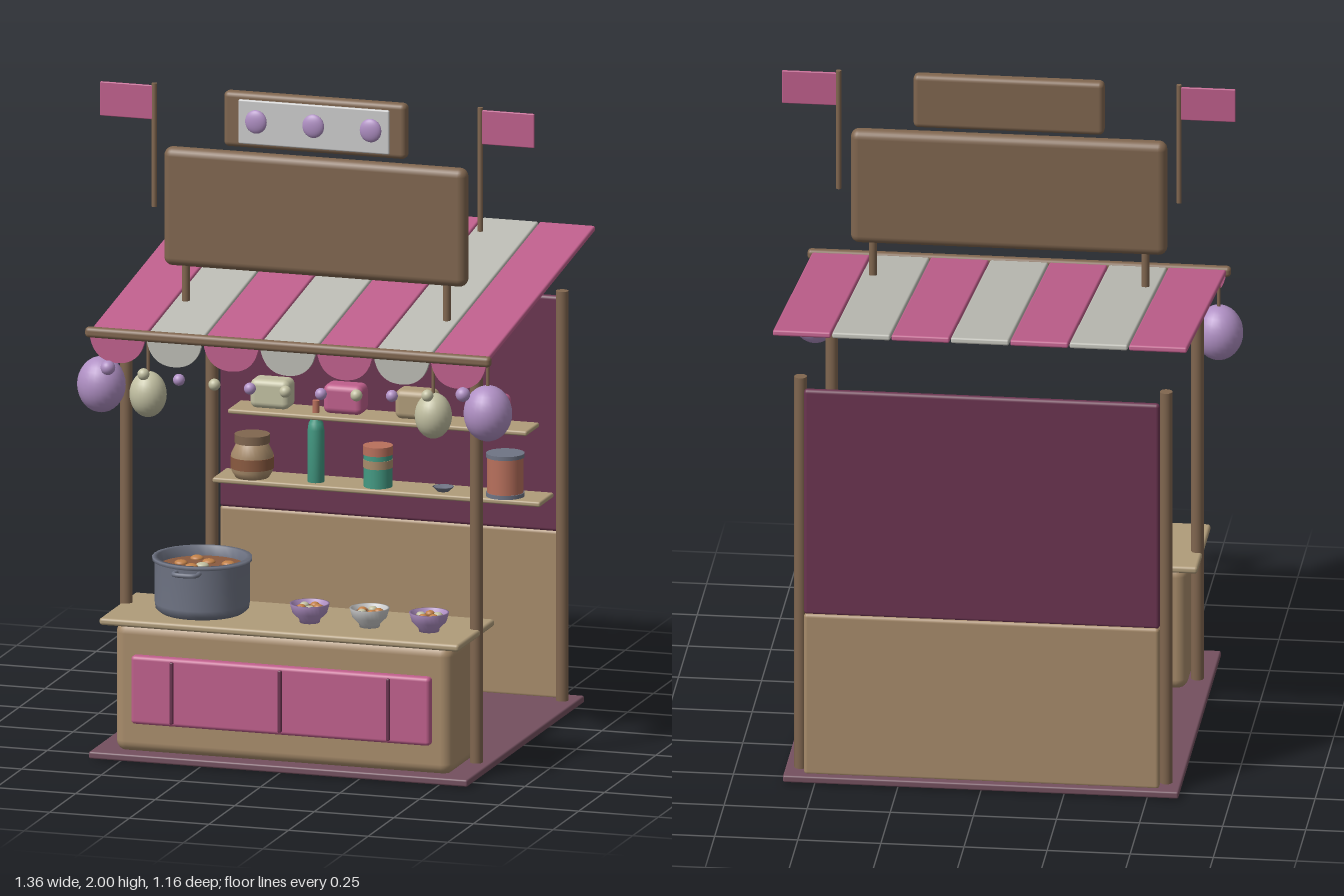
import * as THREE from 'three';
import { RoundedBoxGeometry } from 'three/addons/geometries/RoundedBoxGeometry.js';

const C = {
  wood: 0x80664f, tan: 0xa88c6b, top: 0xb09c7a, pink: 0xbf5f8c, wine: 0x6b3450, floor: 0x74505f,
  white: 0xbcbcb4, cream: 0xc2c0a2, lilac: 0xb090c4, steel: 0x6f7484, teal: 0x439a83,
  soup: 0x8a5a40, orange: 0xc08048, coral: 0xb8705c, pale: 0xc8c8cc,
};
const mats = {};
const mat = (c) => (mats[c] ??= new THREE.MeshStandardMaterial({ color: C[c], side: THREE.DoubleSide }));

export function createModel() {
  const root = new THREE.Group();

  const add = (name, geo, color, x = 0, y = 0, z = 0, parent = root) => {
    const m = new THREE.Mesh(geo, mat(color));
    m.name = name;
    m.position.set(x, y, z);
    parent.add(m);
    return m;
  };
  // Rounded box given by its ranges on each axis
  const box = (name, color, [x0, x1], [y0, y1], [z0, z1], r = 0.006) =>
    add(name, new RoundedBoxGeometry(x1 - x0, y1 - y0, z1 - z0, 3, r), color,
      (x0 + x1) / 2, (y0 + y1) / 2, (z0 + z1) / 2);
  // Upright cylinder from y0 to y1
  const cyl = (name, color, x, z, y0, y1, r, rTop = r, parent = root) =>
    add(name, new THREE.CylinderGeometry(rTop, r, y1 - y0, 24), color, x, (y0 + y1) / 2, z, parent);
  const ball = (name, color, x, y, z, rx, ry = rx, rz = rx, parent = root) => {
    const m = add(name, new THREE.SphereGeometry(1, 24, 16), color, x, y, z, parent);
    m.scale.set(rx, ry, rz);
    return m;
  };
  const lathe = (name, color, pts, x, y, z, parent = root) =>
    add(name, new THREE.LatheGeometry(pts.map((p) => new THREE.Vector2(...p)), 28), color, x, y, z, parent);
  const group = (name, x, y, z) => {
    const g = new THREE.Group();
    g.name = name;
    g.position.set(x, y, z);
    root.add(g);
    return g;
  };

  // Floor, posts and back wall
  box('floor', 'floor', [-0.595, 0.595], [0.004, 0.026], [-0.56, 0.58]);
  for (const s of [-1, 1]) {
    cyl('frontPost', 'wood', s * 0.55, 0.352, 0, 1.285, 0.019);
    cyl('backPost', 'wood', s * 0.55, -0.482, 0, 1.285, 0.019);
  }
  box('lowerBackWall', 'tan', [-0.535, 0.535], [0.02, 0.54], [-0.535, -0.507], 0.012);
  box('upperBackWall', 'wine', [-0.535, 0.535], [0.535, 1.26], [-0.53, -0.507], 0.011);

  // Counter with a panelled front
  box('counter', 'tan', [-0.53, 0.53], [0.02, 0.42], [0.255, 0.535], 0.035);
  box('counterTop', 'top', [-0.565, 0.565], [0.415, 0.437], [0.218, 0.572], 0.009);
  box('counterPanel', 'pink', [-0.47, 0.47], [0.115, 0.325], [0.52, 0.56], 0.012);
  for (const x of [-0.34, 0, 0.34]) box('panelDivider', 'wine', [x - 0.006, x + 0.006], [0.125, 0.315], [0.545, 0.568], 0.004);

  // Shelves
  box('lowerShelf', 'top', [-0.515, 0.515], [0.64, 0.656], [-0.51, -0.375]);
  box('upperShelf', 'top', [-0.47, 0.47], [0.853, 0.868], [-0.51, -0.385]);

  // Boxes on the upper shelf
  [[-0.345, 'cream'], [-0.115, 'pink'], [0.11, 'top'], [0.335, 'pink']].forEach(([x, c]) =>
    box('shelfBox', c, [x - 0.062, x + 0.062], [0.872, 0.962], [-0.475, -0.398], 0.02));

  // Jar, bottle, cans and dish on the lower shelf
  const sz = -0.425;
  lathe('jar', 'tan', [[0, 0], [0.05, 0], [0.062, 0.02], [0.064, 0.07], [0.05, 0.1], [0.045, 0.108]], -0.405, 0.656, sz);
  cyl('jarBand', 'soup', -0.405, sz, 0.685, 0.72, 0.0655);
  cyl('jarLid', 'wood', -0.405, sz, 0.762, 0.788, 0.053);
  lathe('bottle', 'teal', [[0, 0], [0.025, 0], [0.025, 0.16], [0.022, 0.18], [0.01, 0.2], [0.01, 0.215]], -0.205, 0.656, sz);
  cyl('bottleCap', 'coral', -0.205, sz, 0.868, 0.905, 0.011);
  cyl('smallCan', 'teal', -0.01, sz, 0.656, 0.755, 0.043);
  cyl('smallCanLabel', 'tan', -0.01, sz, 0.715, 0.74, 0.0445);
  cyl('smallCanLid', 'coral', -0.01, sz, 0.755, 0.782, 0.045);
  lathe('dish', 'steel', [[0, 0], [0.018, 0], [0.032, 0.014], [0.028, 0.014], [0, 0.006]], 0.195, 0.656, sz);
  cyl('largeCan', 'coral', 0.39, sz, 0.66, 0.78, 0.055);
  for (const y of [0.656, 0.776]) cyl('largeCanRim', 'steel', 0.39, sz, y, y + 0.012, 0.058);

  // Cooking pot with soup and two handles
  const pot = group('pot', -0.3, 0.437, 0.387);
  lathe('potBody', 'steel', [[0, 0], [0.125, 0], [0.14, 0.012], [0.143, 0.03], [0.143, 0.155], [0.15, 0.158],
    [0.15, 0.168], [0.134, 0.168], [0.132, 0.13]], 0, 0, 0, pot);
  cyl('soup', 'soup', 0, 0, 0.12, 0.138, 0.134, 0.134, pot);
  for (let i = 0; i < 9; i++) {
    const a = i * 2.4, r = 0.036 * Math.sqrt(i);
    ball('soupPiece', i % 3 ? 'orange' : 'cream', r * Math.cos(a), 0.139, r * Math.sin(a), 0.02, 0.01, 0.02, pot);
  }
  for (const s of [-1, 1]) {
    const path = new THREE.CatmullRomCurve3([[-0.036, 0.138], [-0.036, 0.168], [-0.026, 0.178], [0.026, 0.178],
      [0.036, 0.168], [0.036, 0.138]].map(([x, z]) => new THREE.Vector3(x, 0.148, z * s)));
    add('potHandle', new THREE.TubeGeometry(path, 30, 0.007, 8), 'steel', 0, 0, 0, pot);
  }

  // Filled serving bowls
  [0.05, 0.238, 0.425].forEach((x, k) => {
    const b = group('bowl', x, 0.437, 0.425);
    lathe('bowlShell', k === 1 ? 'pale' : 'lilac', [[0, 0], [0.03, 0], [0.032, 0.01], [0.052, 0.03], [0.06, 0.058],
      [0.054, 0.058], [0.046, 0.034]], 0, 0, 0, b);
    cyl('bowlFilling', 'soup', 0, 0, 0.034, 0.044, 0.049, 0.052, b);
    for (let i = 0; i < 5; i++) {
      const a = i * 1.257 + k;
      ball('bowlPiece', i % 2 ? 'cream' : 'orange', 0.027 * Math.cos(a), 0.047, 0.027 * Math.sin(a), 0.014, 0.01, 0.014, b);
    }
  });

  // Sloping striped awning, front rail and scalloped valance
  const rise = 0.17, run = 1.05, pitch = 1.25 / 7;
  const awning = group('awning', 0, 1.375, -0.055);
  awning.rotation.x = Math.atan2(rise, run);
  for (let i = 0; i < 7; i++) {
    const x = (i - 3) * pitch, color = i % 2 ? 'white' : 'pink';
    add('awningStripe', new RoundedBoxGeometry(pitch - 0.004, 0.018, Math.hypot(rise, run), 2, 0.006), color, x, 0, 0, awning);
    const h = pitch / 2 - 0.002;
    const flap = new THREE.Shape();
    flap.moveTo(-h, 0);
    flap.lineTo(h, 0);
    flap.bezierCurveTo(h * 0.9, -0.06, h * 0.5, -0.082, 0, -0.082);
    flap.bezierCurveTo(-h * 0.5, -0.082, -h * 0.9, -0.06, -h, 0);
    add('valanceScallop', new THREE.ExtrudeGeometry(flap, { depth: 0.012, bevelEnabled: false, curveSegments: 10 }),
      color, x, 1.285, 0.472);
  }
  box('frontRail', 'wood', [-0.637, 0.637], [1.275, 1.307], [0.463, 0.492], 0.012);

  // Hanging lanterns and a sagging row of bulbs
  for (const s of [-1, 1]) {
    ball('largeLantern', 'lilac', s * 0.607, 1.118, 0.417, 0.073, 0.085, 0.073);
    ball('smallLantern', 'cream', s * 0.448, 1.108, 0.455, 0.056, 0.07, 0.056);
    cyl('lanternCord', 'wood', s * 0.607, 0.417, 1.19, 1.3, 0.005);
    cyl('lanternCord', 'wood', s * 0.448, 0.455, 1.17, 1.29, 0.005);
  }
  for (let i = -5; i <= 5; i++)
    ball('bulb', i % 2 ? 'lilac' : 'cream', i * 0.1115, 1.16 + 0.0013 * i * i, 0.507, Math.abs(i) === 5 ? 0.022 : 0.018);

  // Main sign board with its supports
  for (const s of [-1, 1]) cyl('signSupport', 'wood', s * 0.41, 0.205, 1.335, 1.5, 0.012);
  box('signBoard', 'wood', [-0.476, 0.476], [1.448, 1.812], [0.178, 0.232], 0.026);

  // Small top sign with pale inset and gems
  box('topSign', 'wood', [-0.287, 0.287], [1.828, 1.998], [0.184, 0.226], 0.016);
  box('topSignInset', 'pale', [-0.237, 0.237], [1.842, 1.978], [0.215, 0.233], 0.005);
  for (const x of [-0.18, 0, 0.18]) ball('signGem', 'lilac', x, 1.914, 0.236, 0.034, 0.036, 0.014);

  // Flags on poles
  for (const s of [-1, 1]) {
    cyl('flagPole', 'wood', s * 0.512, 0.196, 1.62, 2, 0.008);
    const x = [0.516, 0.682].map((v) => v * s).sort((a, b) => a - b);
    box('flag', 'pink', x, [1.888, 1.993], [0.192, 0.2], 0.003);
  }

  return root;
}
